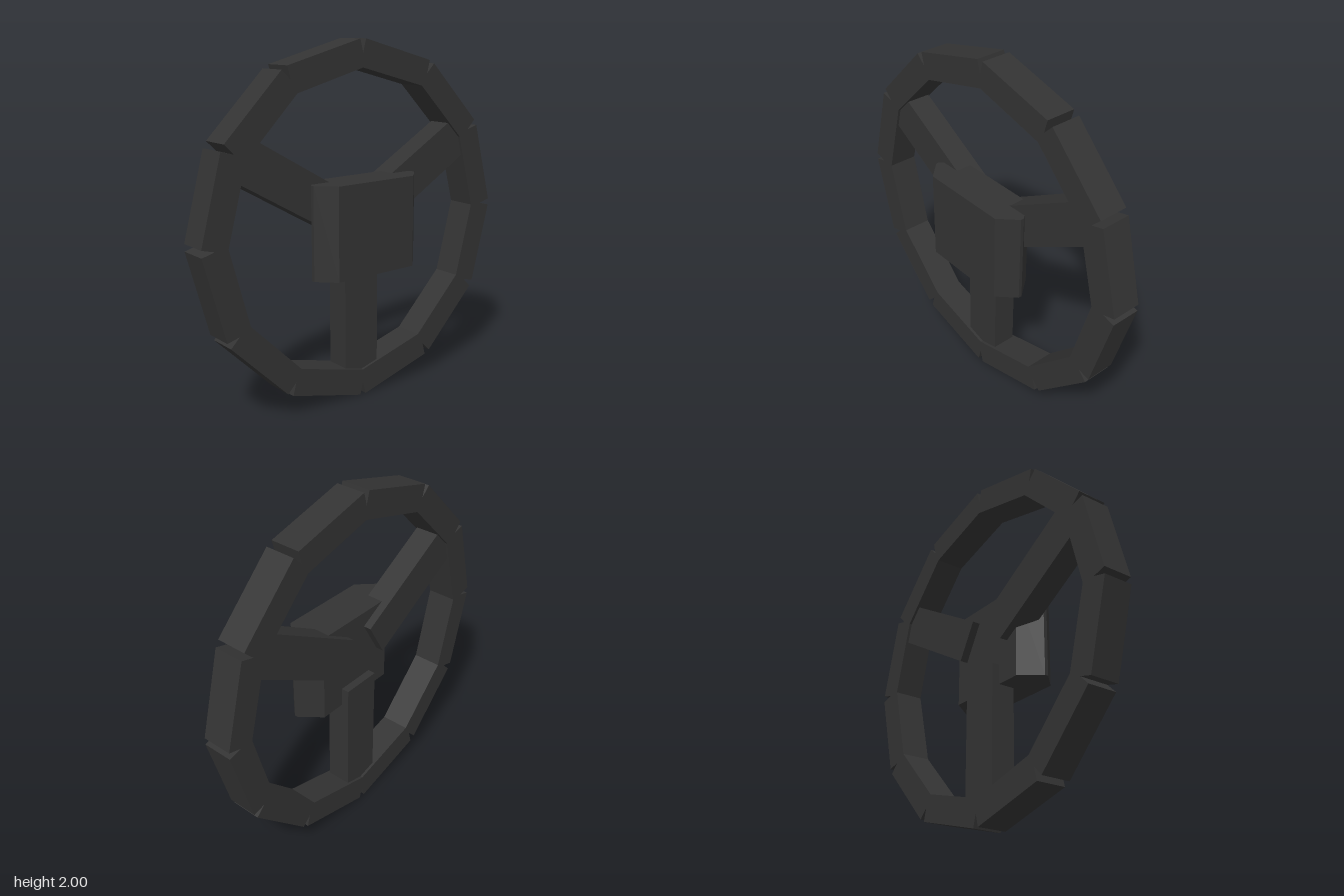
import * as THREE from 'three';

export function createModel() {
  const group = new THREE.Group();
  group.name = 'steeringWheel';
  const black = new THREE.MeshStandardMaterial({ color: 0x333333 });
  black.name = 'matteBlack';

  // Block placed at a radius and angle around the wheel centre
  const radialBlock = (name, size, radius, angle, z) => {
    const mesh = new THREE.Mesh(new THREE.BoxGeometry(...size), black);
    mesh.name = name;
    mesh.position.set(Math.cos(angle) * radius, 1 + Math.sin(angle) * radius, z);
    mesh.rotation.z = angle;
    group.add(mesh);
  };

  // Rim: twelve straight blocks with open notches on the outside
  for (let i = 0; i < 12; i++) {
    radialBlock('rimSegment', [0.15, 0.48, 0.17], 0.896, ((i + 0.5) * Math.PI) / 6, -0.06);
  }

  // Three spokes, slightly thinner than the rim
  for (let i = 0; i < 3; i++) {
    radialBlock('spoke', [0.725, 0.23, 0.14], 0.5075, Math.PI / 6 + (i * 2 * Math.PI) / 3, -0.06);
  }

  // Hub: bevelled prism, outline in x and z, extruded upwards
  const half = [[0.26, -0.085], [0.353, 0.03], [0.353, 0.05], [0.26, 0.145]];
  const outline = [...half, ...half.map(([x, z]) => [-x, z]).reverse()];
  const shape = new THREE.Shape(outline.map(([x, z]) => new THREE.Vector2(x, -z)));
  const hubGeometry = new THREE.ExtrudeGeometry(shape, { depth: 0.515, bevelEnabled: false });
  hubGeometry.rotateX(-Math.PI / 2);
  const hub = new THREE.Mesh(hubGeometry, black);
  hub.name = 'hub';
  hub.position.y = 0.745;
  group.add(hub);

  return group;
}
